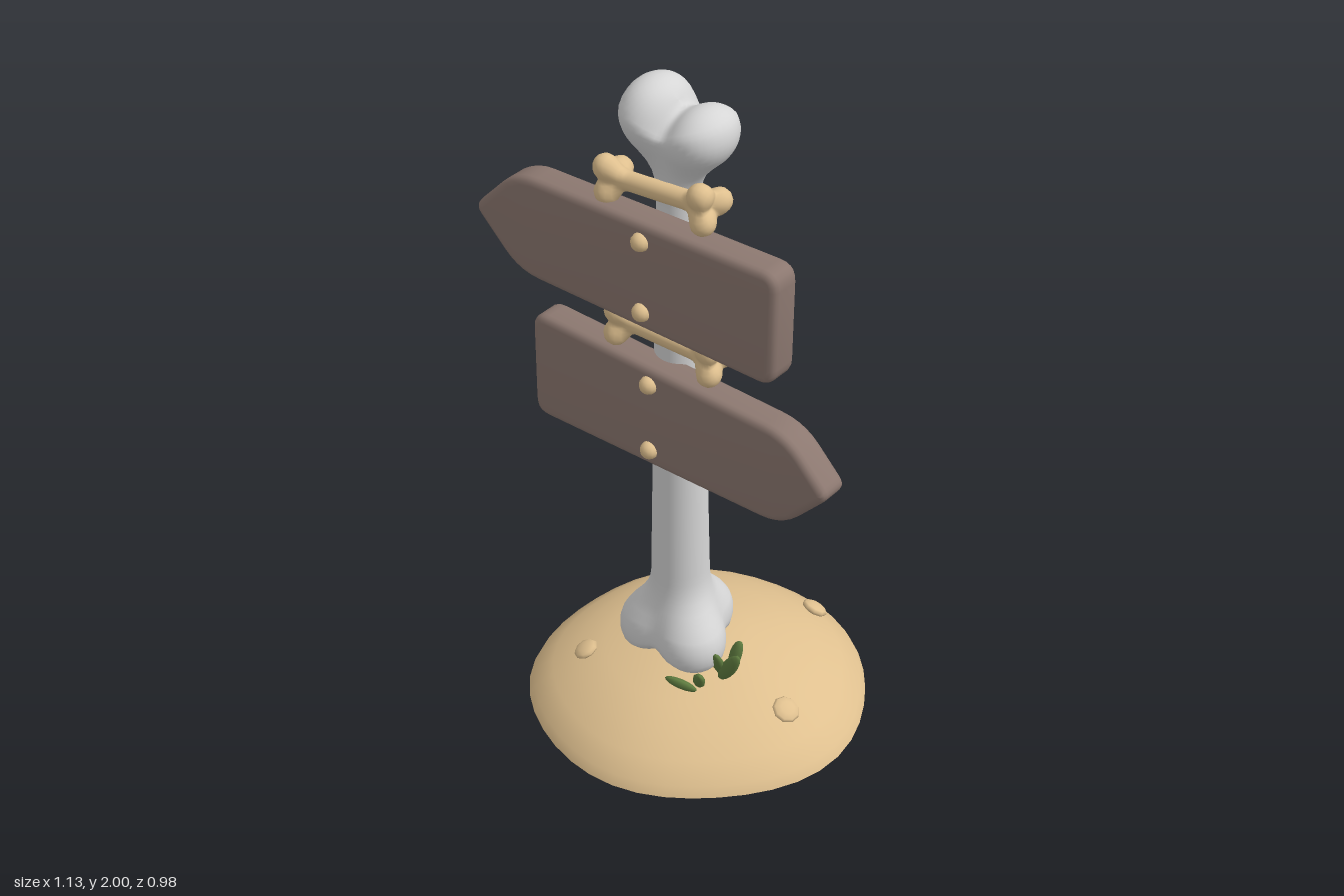
import * as THREE from 'three';
import { toCreasedNormals } from 'three/addons/utils/BufferGeometryUtils.js';

const mat = (name, color) => new THREE.MeshStandardMaterial({ name, color });

// polynomial smooth minimum, used to melt knobs into a shaft
const smin = (a, b, k) => {
  const h = Math.max(k - Math.abs(a - b), 0) / k;
  return Math.min(a, b) - h * h * k * 0.25;
};

const ellipsoid = (x, y, z, [cx, cy, cz, rx, ry, rz]) =>
  (Math.hypot((x - cx) / rx, (y - cy) / ry, (z - cz) / rz) - 1) * Math.min(rx, ry, rz);

// Bone along y: a tapered shaft blended with end knobs, skinned by casting
// rays out of the segment lo..hi (fans at both ends, rings between them)
function boneGeometry({ lo, hi, r0, r1, knobs, blend, cleft, sides, fan, rings, reach }) {
  const shaft = (x, y, z) => {
    const t = THREE.MathUtils.clamp((y - lo) / (hi - lo), 0, 1);
    return Math.max(Math.hypot(x, z) - (r0 + (r1 - r0) * t), y - hi - r1 * 0.3, lo - r0 * 0.3 - y);
  };
  const field = (x, y, z) => {
    const k = knobs.map((e) => ellipsoid(x, y, z, e)).reduce((a, b) => smin(a, b, cleft));
    return smin(shaft(x, y, z), k, blend);
  };
  const rows = [];
  for (let i = 0; i < fan; i++) rows.push([lo, -Math.PI / 2 * (1 - i / fan)]);
  for (let i = 0; i <= rings; i++) rows.push([lo + (hi - lo) * i / rings, 0]);
  for (let i = 1; i <= fan; i++) rows.push([hi, Math.PI / 2 * i / fan]);
  const pos = [], index = [];
  rows.forEach(([oy, phi], j) => {
    for (let i = 0; i < sides; i++) {
      const a = i / sides * Math.PI * 2;
      const dx = Math.cos(phi) * Math.sin(a), dy = Math.sin(phi), dz = Math.cos(phi) * Math.cos(a);
      let near = 0, far = reach;
      for (let s = 0; s < 24; s++) {
        const t = (near + far) / 2;
        if (field(dx * t, oy + dy * t, dz * t) < 0) near = t; else far = t;
      }
      pos.push(dx * near, oy + dy * near, dz * near);
      if (j < rows.length - 1) {
        const p = j * sides + i, q = j * sides + (i + 1) % sides;
        index.push(p, q, q + sides, p, q + sides, p + sides);
      }
    }
  });
  const g = new THREE.BufferGeometry();
  g.setAttribute('position', new THREE.Float32BufferAttribute(pos, 3));
  g.setIndex(index);
  g.computeVertexNormals();
  return g;
}

// Board from [x, y, cornerRadius] corners, extruded with a soft bevel
function boardGeometry(corners, depth) {
  const shape = new THREE.Shape();
  const n = corners.length;
  corners.forEach(([x, y, r], i) => {
    const p = new THREE.Vector2(x, y);
    const toward = ([a, b]) => new THREE.Vector2(a, b).sub(p).setLength(r).add(p);
    const s = toward(corners[(i + n - 1) % n]), e = toward(corners[(i + 1) % n]);
    if (i) shape.lineTo(s.x, s.y); else shape.moveTo(s.x, s.y);
    shape.quadraticCurveTo(x, y, e.x, e.y);
  });
  shape.closePath();
  const b = 0.02;
  const g = new THREE.ExtrudeGeometry(shape, {
    depth: depth - 2 * b, bevelSize: b, bevelThickness: b, bevelOffset: -b, bevelSegments: 3, curveSegments: 5,
  });
  g.translate(0, 0, b);
  return toCreasedNormals(g, 0.7);
}

export function createModel() {
  const model = new THREE.Group();
  model.name = 'boneSignpost';
  const bone = mat('boneGrey', 0xd6d6d6);
  const sand = mat('sand', 0xdfc08f);
  const wood = mat('brownWood', 0x8c7870);
  const green = mat('grassGreen', 0x5f7c40);
  const add = (name, geometry, material, x = 0, y = 0, z = 0) => {
    const m = new THREE.Mesh(geometry, material);
    m.name = name;
    m.position.set(x, y, z);
    model.add(m);
    return m;
  };

  // sand mound, slightly uneven
  const profile = [[0, 0], [0.49, 0], [0.475, 0.03], [0.42, 0.075], [0.35, 0.12], [0.27, 0.155], [0.15, 0.19], [0.07, 0.203], [0, 0.205]];
  const mound = new THREE.LatheGeometry(profile.map(([x, y]) => new THREE.Vector2(x, y)), 40);
  const mp = mound.attributes.position;
  for (let i = 0; i < mp.count; i++) {
    const x = mp.getX(i), z = mp.getZ(i), a = Math.atan2(z, x);
    const k = 1 + 0.012 * Math.cos(3 * a) + 0.012 * Math.sin(5 * a + 1);
    mp.setX(i, x * k + 0.008);
    mp.setZ(i, z * k);
  }
  add('mound', toCreasedNormals(mound, 0.8), sand);

  // flat pebbles lying on the slope
  for (const [x, y, z, r] of [[0.145, 0.108, -0.375, 0.04], [0.355, 0.122, 0.045, 0.041], [-0.235, 0.145, 0.22, 0.037]]) {
    const p = add('pebble', new THREE.SphereGeometry(r, 9, 6), sand, x, y, z);
    p.quaternion.setFromUnitVectors(new THREE.Vector3(0, 1, 0), new THREE.Vector3(x * 1.6, 1, z * 1.6).normalize());
    p.scale.y = 0.4;
  }

  // large bone post: two knobs on top, three at the foot
  add('bonePost', boneGeometry({
    lo: 0.32, hi: 1.82, r0: 0.085, r1: 0.055, blend: 0.13, cleft: 0.035, sides: 48, fan: 18, rings: 50, reach: 0.3,
    knobs: [
      [-0.07, 1.912, 0, 0.08, 0.088, 0.108], [0.085, 1.885, -0.005, 0.073, 0.075, 0.095],
      [-0.085, 0.265, 0.04, 0.078, 0.08, 0.078], [0.08, 0.265, 0.04, 0.078, 0.08, 0.078],
      [0, 0.275, -0.103, 0.08, 0.08, 0.08],
    ],
  }), bone, 0, 0, 0.075);

  // small bones tied across the post, three knobs at each end
  const knobs = [];
  for (const s of [-1, 1]) {
    for (const [x, z, y] of [[-0.037, 0.022, 0.152], [0.037, 0.022, 0.155], [0, -0.042, 0.16]]) {
      knobs.push([x, s * y, z, 0.034, 0.034, 0.034]);
    }
  }
  const smallBone = boneGeometry({
    lo: -0.15, hi: 0.15, r0: 0.026, r1: 0.026, knobs, blend: 0.035, cleft: 0.012, sides: 30, fan: 9, rings: 24, reach: 0.11,
  });
  add('upperCrossBone', smallBone, sand, -0.005, 1.727, 0.148).rotation.z = -Math.PI / 2 + 0.08;
  add('lowerCrossBone', smallBone, sand, 0.012, 1.288, 0.14).rotation.z = -Math.PI / 2;

  // arrow boards
  add('upperBoard', boardGeometry([
    [-0.58, 1.505, 0.03], [-0.43, 1.355, 0.07], [0.415, 1.345, 0.05], [0.42, 1.675, 0.05], [-0.43, 1.658, 0.07],
  ], 0.095), wood, 0, 0, 0.13);
  add('lowerBoard', boardGeometry([
    [0.575, 1.06, 0.03], [0.44, 1.2, 0.07], [-0.41, 1.225, 0.05], [-0.412, 0.897, 0.05], [0.43, 0.905, 0.07],
  ], 0.095), wood, 0, 0, 0.105);

  // round nail heads
  for (const [y, z] of [[1.615, 0.225], [1.405, 0.225], [1.165, 0.2], [0.955, 0.2]]) {
    add('nail', new THREE.SphereGeometry(0.026, 12, 8), sand, -0.003, y, z);
  }

  // grass blades: base, tip, half width
  const blades = [
    [[0.16, 0.17, 0.1], [0.235, 0.295, 0.11], 0.022], [[0.15, 0.17, 0.08], [0.17, 0.28, 0.13], 0.02],
    [[0.13, 0.17, 0.16], [0.17, 0.25, 0.2], 0.02], [[0.16, 0.17, 0.05], [0.18, 0.27, 0.03], 0.02],
    [[0.15, 0.18, 0.19], [0.06, 0.2, 0.22], 0.018],
    [[-0.09, 0.2, -0.03], [-0.18, 0.215, -0.07], 0.023], [[-0.16, 0.19, -0.06], [-0.21, 0.215, -0.1], 0.016],
    [[-0.17, 0.19, -0.018], [-0.23, 0.2, -0.022], 0.015], [[-0.15, 0.18, 0.06], [-0.165, 0.285, 0.0], 0.02],
    [[-0.09, 0.195, -0.08], [-0.06, 0.225, -0.115], 0.018], [[-0.12, 0.195, 0.0], [-0.135, 0.23, -0.04], 0.018],
  ];
  for (const [base, tip, w] of blades) {
    const a = new THREE.Vector3(...base), b = new THREE.Vector3(...tip);
    const g = new THREE.SphereGeometry(1, 8, 8);
    const c = a.clone().add(b).multiplyScalar(0.5);
    const m = add('grassBlade', g, green, c.x, c.y, c.z);
    m.scale.set(w, a.distanceTo(b) / 2, w * 0.7);
    m.quaternion.setFromUnitVectors(new THREE.Vector3(0, 1, 0), b.sub(a).normalize());
  }
  return model;
}
